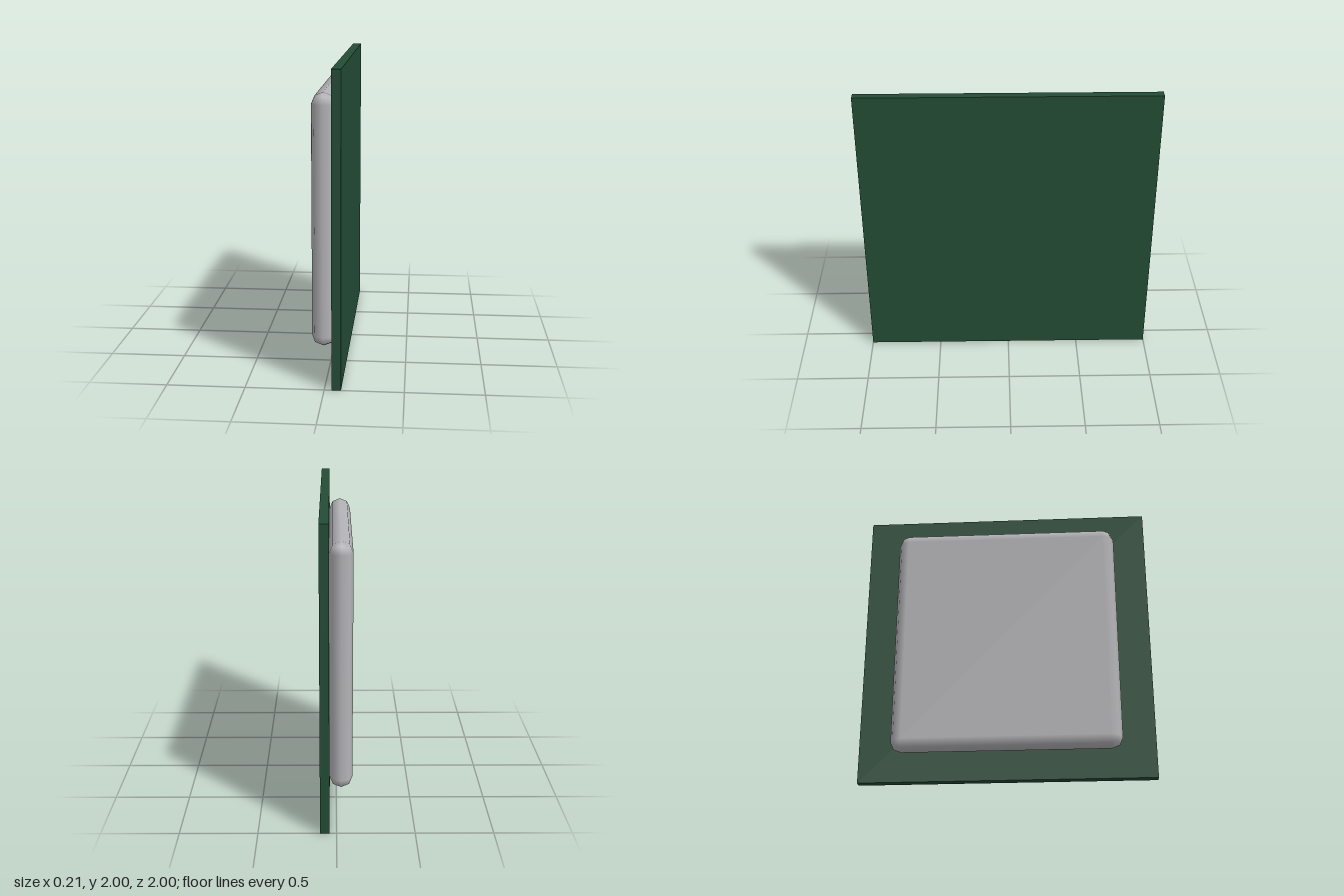
import * as THREE from 'three';

const green = new THREE.MeshStandardMaterial({ color: 0x244c36 });
green.name = 'dark green';
const grey = new THREE.MeshStandardMaterial({ color: 0xb4b4b8 });
grey.name = 'light grey';

// Slab with fully rounded rim: rounded-rectangle rings stacked along x, closed by flat caps
function roundedSlab(height, depth, r, seg) {
  const pos = [], nor = [], idx = [];
  const n = 4 * (seg + 1), rings = 2 * seg + 1;
  const corners = [[1, 1], [-1, 1], [-1, -1], [1, -1]]; // signs of y, z
  for (let i = 0; i < rings; i++) {
    const phi = (i / (rings - 1) - 0.5) * Math.PI;
    corners.forEach(([sy, sz], c) => {
      for (let k = 0; k <= seg; k++) {
        const a = (c + k / seg) * Math.PI / 2;
        const d = [Math.sin(phi), Math.cos(phi) * Math.cos(a), Math.cos(phi) * Math.sin(a)];
        pos.push(r * d[0], sy * (height / 2 - r) + r * d[1], sz * (depth / 2 - r) + r * d[2]);
        nor.push(...d);
      }
    });
  }
  for (let i = 0; i < rings - 1; i++) {
    for (let j = 0; j < n; j++) {
      const a = i * n + j, b = i * n + (j + 1) % n;
      idx.push(a, b, b + n, a, b + n, a + n);
    }
  }
  const last = (rings - 1) * n;
  for (let j = 1; j < n - 1; j++) {
    idx.push(0, j + 1, j, last, last + j, last + j + 1);
  }
  const g = new THREE.BufferGeometry();
  g.setAttribute('position', new THREE.Float32BufferAttribute(pos, 3));
  g.setAttribute('normal', new THREE.Float32BufferAttribute(nor, 3));
  g.setIndex(idx);
  return g;
}

export function createModel() {
  const model = new THREE.Group();
  model.name = 'paddedBoard';

  // Square backing board
  const board = new THREE.Mesh(new THREE.BoxGeometry(0.06, 2, 2), green);
  board.name = 'board';
  board.position.set(0.075, 1, 0);

  // Rounded pad on the board's right side
  const pad = new THREE.Mesh(roundedSlab(1.65, 1.55, 0.075, 2), grey);
  pad.name = 'pad';
  pad.position.set(-0.03, 1.005, 0);

  model.add(board, pad);
  return model;
}
